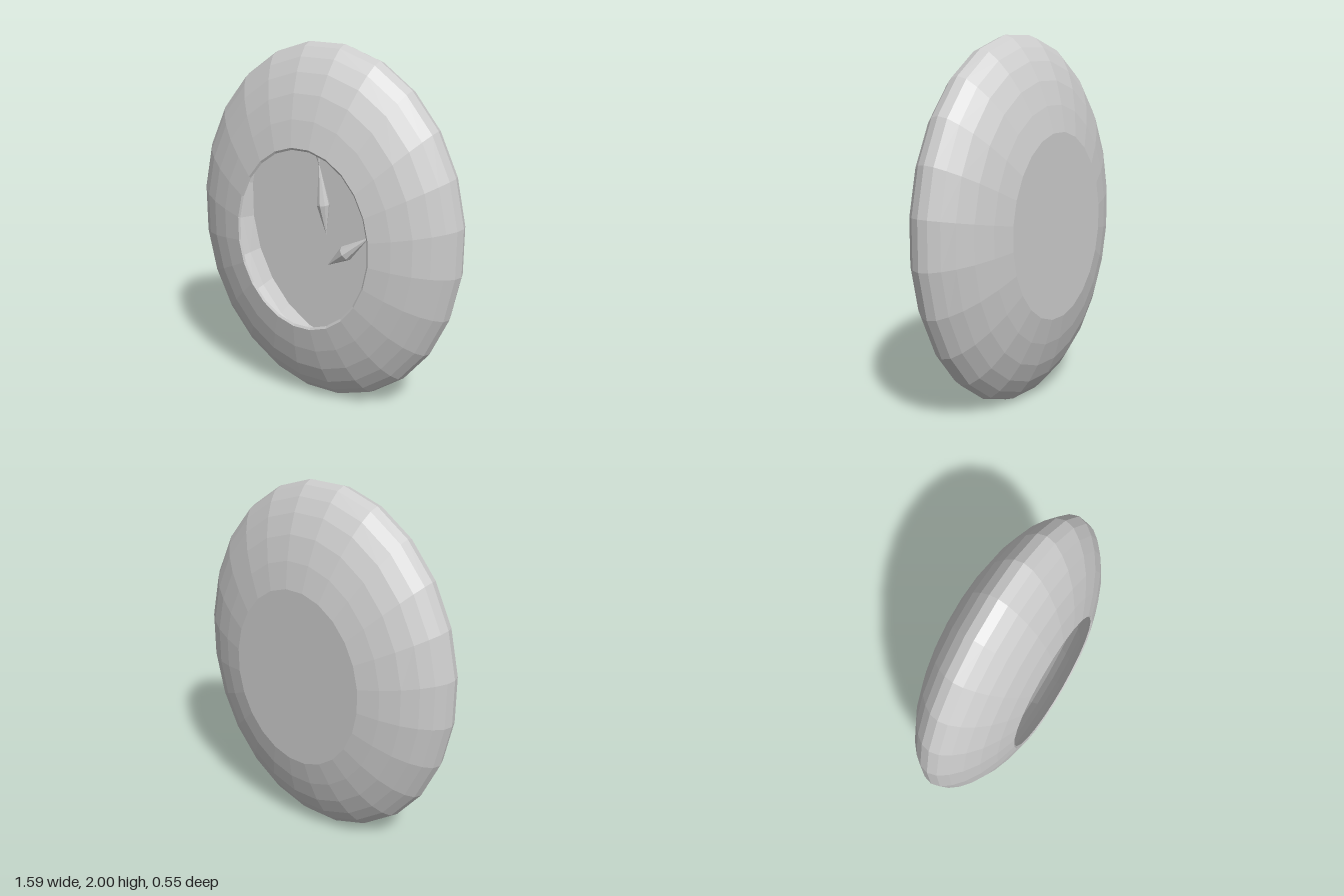
import * as THREE from 'three';

const SIDES = 24;
const material = new THREE.MeshStandardMaterial({ color: 0xcccccc, flatShading: true, side: THREE.DoubleSide });

// Turns an [r, z] profile about the z axis, flat sides up, then squeezes it to an oval
function ovalLathe(profile) {
  const points = profile.map(([r, z]) => new THREE.Vector2(r, z));
  const geometry = new THREE.LatheGeometry(points, SIDES, Math.PI / SIDES);
  const grow = 1 / Math.cos(Math.PI / SIDES);
  return geometry.rotateX(Math.PI / 2).scale(0.797 * grow, grow, 1);
}

function addMesh(parent, name, geometry) {
  const mesh = new THREE.Mesh(geometry, material);
  mesh.name = name;
  parent.add(mesh);
  return mesh;
}

// Pointed hand: spindle from the tip to a pinch, then a flared end
function addHand(parent, name, tip, end, profile) {
  const from = new THREE.Vector3(...tip);
  const direction = new THREE.Vector3(...end).sub(from).normalize();
  const points = profile.map(([r, d]) => new THREE.Vector2(r, d));
  const hand = addMesh(parent, name, new THREE.LatheGeometry(points, 8));
  hand.position.copy(from);
  hand.quaternion.setFromUnitVectors(new THREE.Vector3(0, 1, 0), direction);
}

export function createModel() {
  const clock = new THREE.Group();
  clock.name = 'ovalClock';
  const body = new THREE.Group();
  body.name = 'body';
  body.position.y = 1;
  clock.add(body);

  // Rounded case: half profile from the equator to the front opening
  const half = [[1, 0], [0.983, 0.05], [0.935, 0.1], [0.865, 0.15], [0.765, 0.2], [0.64, 0.242], [0.5, 0.275]];
  const back = half.slice(1).reverse().map(([r, z]) => [r, -z]);
  addMesh(body, 'case', ovalLathe([[0, -0.275], ...back, ...half]));

  // Thin lip and the hollow inside of the case
  const inside = half.slice(0, 6).reverse().map(([r, z]) => [r - 0.015, z * 0.95]);
  const insideBack = half.slice(1, 4).map(([r, z]) => [r - 0.015, -z]);
  addMesh(body, 'innerWall', ovalLathe([[0.5, 0.275], [0.488, 0.268], ...inside, ...insideBack, [0.785, -0.19]]));

  // Dial plate at the bottom of the hollow
  addMesh(body, 'dial', ovalLathe([[0.785, -0.19], [0, -0.19]]));

  // Hands
  addHand(body, 'minuteHand', [0.005, -0.04, 0.02], [-0.056, 0.5, 0.02],
    [[0, 0], [0.036, 0.17], [0.002, 0.39], [0.034, 0.55], [0, 0.55]]);
  addHand(body, 'hourHand', [-0.045, -0.265, -0.08], [0.333, 0.043, -0.08],
    [[0, 0], [0.044, 0.15], [0.002, 0.33], [0.048, 0.488], [0, 0.488]]);
  return clock;
}
